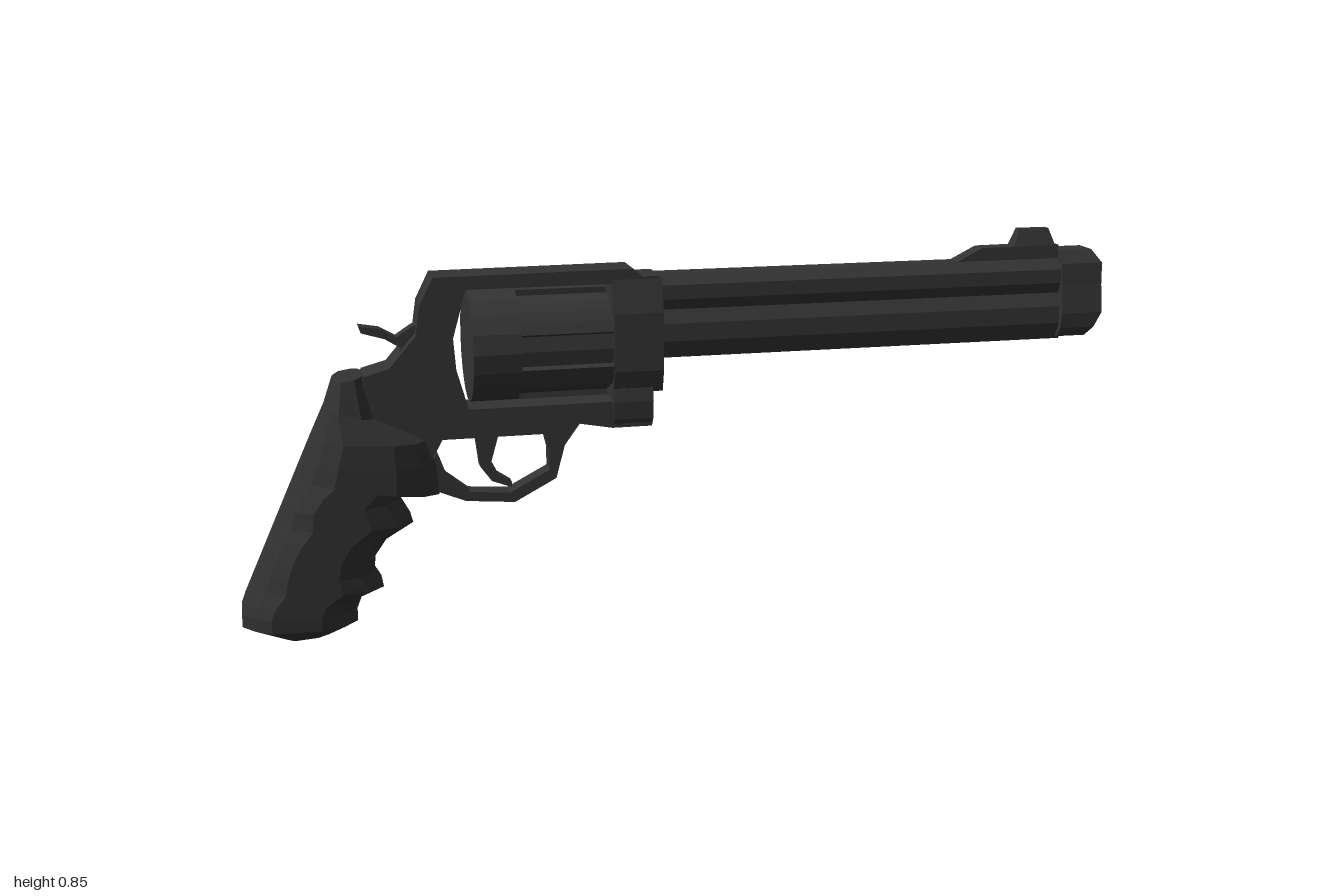
import * as THREE from 'three';

const steel = new THREE.MeshStandardMaterial({ color: 0x333333 });
steel.name = 'dark steel';
const rubber = new THREE.MeshStandardMaterial({ color: 0x313131 });
rubber.name = 'grip rubber';

const toShape = (pts) => new THREE.Shape(pts.map(([x, y]) => new THREE.Vector2(x, y)));
const toHole = (pts) => new THREE.Path(pts.map(([x, y]) => new THREE.Vector2(x, y)));
const ngon = (n, r, cx, cy) => Array.from({ length: n }, (_, i) => {
  const a = (i / n) * Math.PI * 2;
  return [cx + r * Math.cos(a), cy + r * Math.sin(a)];
});
// Mirrors a half section (top to bottom on one side) into a closed outline
const mirrored = (half) => [...half, ...half.map(([z, y]) => [-z, y]).reverse()];

// Side outline [x, y] extruded symmetrically across z
function plate(pts, half, holes = []) {
  const s = toShape(pts);
  s.holes = holes.map(toHole);
  return new THREE.ExtrudeGeometry(s, { depth: half * 2, bevelEnabled: false }).translate(0, 0, -half);
}

// Cross-section [z, y] extruded along x
function bar(pts, x0, x1, holes = []) {
  const s = toShape(pts);
  s.holes = holes.map(toHole);
  return new THREE.ExtrudeGeometry(s, { depth: x1 - x0, bevelEnabled: false })
    .rotateY(Math.PI / 2).translate(x0, 0, 0);
}

function reshape(geo, rule) {
  const p = geo.attributes.position;
  const v = new THREE.Vector3();
  for (let i = 0; i < p.count; i++) {
    rule(v.fromBufferAttribute(p, i));
    p.setXYZ(i, v.x, v.y, v.z);
  }
  geo.computeVertexNormals();
  return geo;
}

// Faceted grip lofted through sections running from its back to its front
function gripGeometry() {
  const back = (y) => [-0.8 - 0.2 * (0.515 - y) / 0.445, y];
  const front = [
    [-0.565, 0.38], [-0.56, 0.31], [-0.61, 0.335], [-0.65, 0.305], [-0.62, 0.25], [-0.68, 0.215],
    [-0.705, 0.18], [-0.71, 0.14], [-0.69, 0.105], [-0.74, 0.085],
  ];
  const stations = [
    [[-0.78, 0.575], [-0.715, 0.585], 0.06],
    [[-0.8, 0.515], [-0.69, 0.49], 0.078],
    [back(0.45), [-0.58, 0.435], 0.098],
    ...front.map((f, i) => [back(0.4 - i * 0.0345), f, 0.1]),
    [[-1, 0.065], [-0.75, 0.06], 0.1],
    [[-1, 0.035], [-0.75, 0.03], 0.098],
    [[-0.92, 0], [-0.8, 0.008], 0.065],
  ];
  const side = [[0, 0.4], [0.1, 0.72], [0.25, 1], [0.68, 1], [0.88, 0.78], [1, 0.4]];
  const ring = [...side, ...side.map(([t, w]) => [t, -w]).reverse()];
  const n = ring.length;
  const pos = [];
  const idx = [];
  stations.forEach(([b, f, w]) => ring.forEach(([t, k]) =>
    pos.push(b[0] + (f[0] - b[0]) * t, b[1] + (f[1] - b[1]) * t, k * w)));
  const top = pos.length / 3;
  pos.push(-0.748, 0.58, 0, -0.86, 0.02, 0);
  const last = (stations.length - 1) * n;
  for (let j = 0; j < n; j++) {
    const k = (j + 1) % n;
    for (let i = 0; i < last; i += n) {
      idx.push(i + j, i + n + j, i + n + k, i + j, i + n + k, i + k);
    }
    idx.push(top, j, k, top + 1, last + k, last + j);
  }
  const g = new THREE.BufferGeometry();
  g.setAttribute('position', new THREE.Float32BufferAttribute(pos, 3));
  g.setIndex(idx);
  const flat = g.toNonIndexed();
  flat.computeVertexNormals();
  return flat;
}

export function createModel() {
  const group = new THREE.Group();
  const add = (name, geo, mat = steel) => {
    const m = new THREE.Mesh(geo, mat);
    m.name = name;
    group.add(m);
  };

  // Frame with the open cylinder window
  add('frame', plate([
    [-0.56, 0.795], [-0.59, 0.735], [-0.6, 0.67], [-0.66, 0.6], [-0.715, 0.585], [-0.74, 0.5],
    [-0.62, 0.39], [-0.575, 0.39], [-0.55, 0.435], [-0.3, 0.435], [-0.25, 0.455], [-0.17, 0.44],
    [-0.08, 0.44], [-0.08, 0.51], [-0.06, 0.57], [-0.06, 0.78], [-0.1, 0.78], [-0.12, 0.798],
  ], 0.048, [[[-0.49, 0.766], [-0.52, 0.66], [-0.515, 0.59], [-0.49, 0.5], [-0.168, 0.5], [-0.168, 0.766]]]));
  add('barrelCollar', bar(mirrored([
    [0.048, 0.775], [0.064, 0.7], [0.064, 0.57], [0.05, 0.52],
  ]), -0.167, -0.055));
  add('lowerBlock', bar(mirrored([
    [0.055, 0.53], [0.06, 0.5], [0.056, 0.46], [0.04, 0.438],
  ]), -0.167, -0.078));

  // Revolving cylinder: plain rear, fluted front with open chambers
  const cy = 0.635;
  const polar = (deg, r) => {
    const a = deg * Math.PI / 180;
    return [r * Math.cos(a), cy + r * Math.sin(a)];
  };
  const fluted = [];
  const chambers = [];
  for (let i = 0; i < 6; i++) {
    [[-18, 0.125], [-17, 0.112], [0, 0.113], [17, 0.112], [18, 0.125], [30, 0.125]]
      .forEach(([d, r]) => fluted.push(polar(i * 60 + d, r)));
    chambers.push(ngon(6, 0.027, ...polar(i * 60 + 30, 0.076)));
  }
  add('cylinderRear', bar(ngon(18, 0.125, 0, cy), -0.485, -0.38));
  add('cylinderFront', bar(fluted, -0.38, -0.178, chambers));

  // Barrel with side grooves above the underlug
  add('barrel', bar(mirrored([
    [0.022, 0.78], [0.045, 0.757], [0.045, 0.725], [0.03, 0.7], [0.045, 0.67], [0.045, 0.63], [0.026, 0.59],
  ]), -0.06, 0.91));

  // Muzzle with bevelled front and open bore
  add('muzzle', reshape(bar(mirrored([
    [0.03, 0.8], [0.05, 0.77], [0.052, 0.72], [0.062, 0.655], [0.057, 0.62], [0.038, 0.597],
  ]), 0.9, 1, [ngon(10, 0.04, 0, 0.722)]), (v) => {
    if (v.x < 0.95) return;
    if (v.y > 0.79) v.x -= 0.02;
    else if (v.y < 0.6) v.x -= 0.03;
    else if (v.y < 0.63) v.x -= 0.016;
  }));

  // Front sight
  add('sightRamp', plate([[0.64, 0.775], [0.9, 0.775], [0.9, 0.812], [0.71, 0.81]], 0.022));
  add('sightPost', reshape(
    plate([[0.79, 0.805], [0.895, 0.805], [0.878, 0.85], [0.805, 0.85]], 0.022),
    (v) => { if (v.y > 0.83) v.z *= 0.45; }));

  // Hammer, trigger and trigger guard
  add('hammer', plate([
    [-0.72, 0.69], [-0.715, 0.675], [-0.665, 0.66], [-0.63, 0.638], [-0.65, 0.6], [-0.57, 0.6],
    [-0.575, 0.7], [-0.605, 0.685], [-0.64, 0.662], [-0.675, 0.682],
  ], 0.018));
  add('trigger', plate([
    [-0.475, 0.44], [-0.465, 0.36], [-0.44, 0.325], [-0.395, 0.308], [-0.395, 0.32], [-0.425, 0.34],
    [-0.44, 0.37], [-0.42, 0.44],
  ], 0.016));
  add('triggerGuard', plate([
    [-0.58, 0.36], [-0.56, 0.31], [-0.5, 0.285], [-0.39, 0.275], [-0.295, 0.325], [-0.275, 0.4],
    [-0.235, 0.455], [-0.325, 0.45], [-0.31, 0.39], [-0.31, 0.345], [-0.4, 0.298], [-0.49, 0.305],
    [-0.54, 0.345], [-0.56, 0.4],
  ], 0.024));

  add('grip', gripGeometry(), rubber);
  return group;
}
